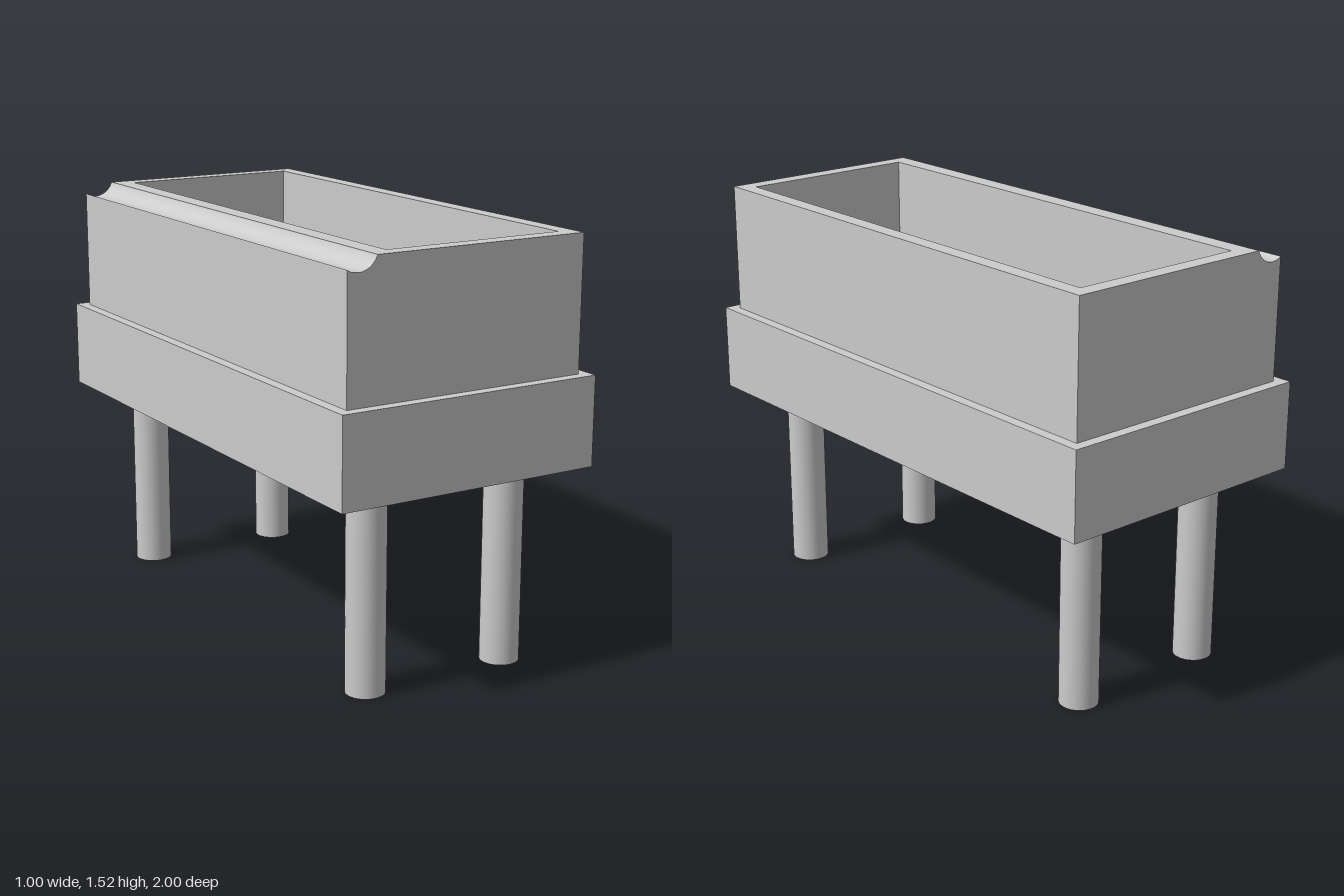
import * as THREE from 'three';
import { toCreasedNormals } from 'three/addons/utils/BufferGeometryUtils.js';

const material = new THREE.MeshStandardMaterial({ color: 0xcccccc, side: THREE.DoubleSide });

// Rectangle as [x0, x1, z0, z1]
const BASE = [-0.5, 0.5, -1, 1];
const BOX = [-0.46, 0.46, -0.96, 0.96];
const CAVITY = [-0.28, 0.4, -0.9, 0.9];
const POCKETS = [-0.58, 0, 0.58].map((z) => [-0.2, 0.32, z - 0.26, z + 0.26]);
const BOTTOM = 0.72, LEDGE = 1.04, TOP = 1.52, FLOOR = 0.88, POCKET_FLOOR = 0.8;

function add(parent, name, geometry) {
  const mesh = new THREE.Mesh(geometry, material);
  mesh.name = name;
  parent.add(mesh);
  return mesh;
}

function group(parent, name) {
  const g = new THREE.Group();
  g.name = name;
  parent.add(g);
  return g;
}

// Strip of quads joining two matching rows of points
function strip(a, b) {
  const pos = [];
  for (let i = 0; i < a.length - 1; i++) {
    for (const p of [a[i], a[i + 1], b[i + 1], a[i], b[i + 1], b[i]]) pos.push(p.x, p.y, p.z);
  }
  const g = new THREE.BufferGeometry();
  g.setAttribute('position', new THREE.Float32BufferAttribute(pos, 3));
  return toCreasedNormals(g, 0.5);
}

// Four upright walls; they face inward when y0 is above y1
function walls([x0, x1, z0, z1], y0, y1) {
  const row = (y) => [[x0, z1], [x1, z1], [x1, z0], [x0, z0], [x0, z1]]
    .map(([x, z]) => new THREE.Vector3(x, y, z));
  return strip(row(y0), row(y1));
}

// Flat horizontal sheet with rectangular holes, facing up or down
function sheet(rect, y, holes = [], up = true) {
  const corners = ([x0, x1, z0, z1]) =>
    [[x0, -z1], [x1, -z1], [x1, -z0], [x0, -z0]].map(([x, v]) => new THREE.Vector2(x, v));
  const shape = new THREE.Shape(corners(rect));
  shape.holes = holes.map((h) => new THREE.Path(corners(h)));
  return new THREE.ShapeGeometry(shape).rotateX(up ? -Math.PI / 2 : Math.PI / 2).translate(0, y, 0);
}

export function createModel() {
  const model = new THREE.Group();
  model.name = 'trough';

  // Wide base with a narrow ledge around the upper box
  const base = group(model, 'base');
  add(base, 'baseSides', walls(BASE, BOTTOM, LEDGE));
  add(base, 'baseUnderside', sheet(BASE, BOTTOM, [], false));
  add(base, 'baseLedge', sheet(BASE, LEDGE, [BOX]));

  // Upper box with a round groove along its right-hand top edge
  const box = group(model, 'upperBox');
  const [x0, x1, z0, z1] = BOX;
  const grooveEdge = -0.35;
  const arc = new THREE.EllipseCurve(-0.42, 1.544, 0.074, 0.074, -0.33, -2.143, true).getPoints(24);
  const grooved = [...arc, new THREE.Vector2(x0, LEDGE)];
  const plain = [new THREE.Vector2(x1, LEDGE), new THREE.Vector2(x1, TOP)];
  const sweep = (pts) => {
    const row = (z) => pts.map((p) => new THREE.Vector3(p.x, p.y, z));
    return strip(row(z0), row(z1));
  };
  add(box, 'groovedSide', sweep(grooved));
  add(box, 'plainSide', sweep(plain));
  const endShape = new THREE.Shape([...plain, ...grooved]);
  add(box, 'frontEnd', new THREE.ShapeGeometry(endShape)).position.z = z1;
  add(box, 'backEnd', new THREE.ShapeGeometry(endShape)).position.z = z0;
  add(box, 'rim', sheet([grooveEdge, x1, z0, z1], TOP, [CAVITY]));

  // Deep cavity whose floor has three square pockets
  const cavity = group(model, 'cavity');
  add(cavity, 'cavityWalls', walls(CAVITY, TOP, FLOOR));
  add(cavity, 'cavityFloor', sheet(CAVITY, FLOOR, POCKETS));
  for (const p of POCKETS) {
    add(cavity, 'pocketWalls', walls(p, FLOOR, POCKET_FLOOR));
    add(cavity, 'pocketFloor', sheet(p, POCKET_FLOOR));
  }

  // Four round legs
  for (const x of [-0.28, 0.28]) {
    for (const z of [-0.8, 0.8]) {
      add(model, 'leg', new THREE.CylinderGeometry(0.07, 0.07, BOTTOM, 40))
        .position.set(x, BOTTOM / 2, z);
    }
  }
  return model;
}
